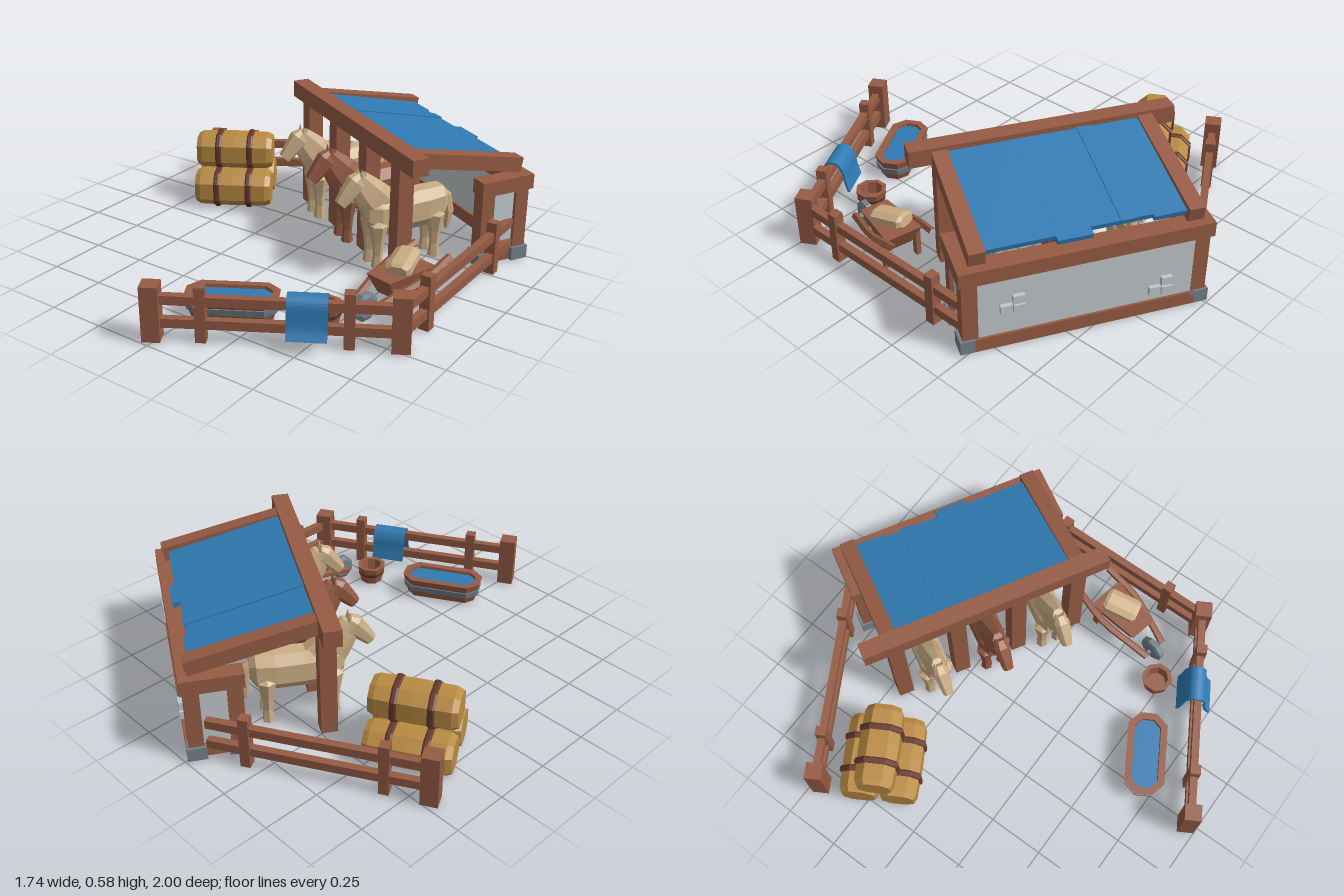
import * as THREE from 'three';

const mat = (name, color) => Object.assign(new THREE.MeshStandardMaterial({ color }), { name });
const WOOD = mat('wood', 0x955b44), BLUE = mat('blue', 0x2f7ab2), WALL = mat('plaster', 0xc0c8ca),
  STONE = mat('stone', 0x737f88), TAN = mat('tan coat', 0xcbae86), HAY = mat('hay', 0xb98a42),
  STRAP = mat('strap', 0x65382c);

// Flat-shaded mesh added to a parent
function add(parent, name, geo, material, x = 0, y = 0, z = 0) {
  const g = geo.index ? geo.toNonIndexed() : geo;
  g.computeVertexNormals();
  const m = new THREE.Mesh(g, material);
  m.name = name;
  m.position.set(x, y, z);
  parent.add(m);
  return m;
}
const box = (p, name, m, w, h, d, x, y, z) => add(p, name, new THREE.BoxGeometry(w, h, d), m, x, y, z);
function group(parent, name, x = 0, z = 0, ry = 0) {
  const g = new THREE.Group();
  g.name = name;
  g.position.set(x, 0, z);
  g.rotation.y = ry;
  parent.add(g);
  return g;
}
const lathe = (pts, n = 8) =>
  new THREE.LatheGeometry(pts.map(p => new THREE.Vector2(...p)), n, Math.PI / n);

// Closed solid through chamfered rectangles [z, y, halfWidth, halfHeight, tilt]
const CORNERS = [[1, .5], [.5, 1], [-.5, 1], [-1, .5], [-1, -.5], [-.5, -1], [.5, -1], [1, -.5]];
function loft(rings) {
  const n = CORNERS.length, pos = [], idx = [], last = (rings.length - 1) * n;
  for (const [z, y, rx, ry, tilt = 0] of rings)
    for (const [cx, cy] of CORNERS)
      pos.push(rx * cx, y + ry * cy * Math.cos(tilt), z - ry * cy * Math.sin(tilt));
  for (let i = 0; i < rings.length - 1; i++)
    for (let j = 0; j < n; j++) {
      const a = i * n + j, b = i * n + (j + 1) % n;
      idx.push(a, b, b + n, a, b + n, a + n);
    }
  for (let j = 1; j < n - 1; j++) idx.push(0, j + 1, j, last, last + j, last + j + 1);
  const g = new THREE.BufferGeometry();
  g.setAttribute('position', new THREE.Float32BufferAttribute(pos, 3));
  g.setIndex(idx);
  return g;
}

function horse(parent, x, coat) {
  const h = group(parent, 'horse', x);
  add(h, 'body', loft([[-.565, .25, .03, .045], [-.54, .245, .054, .075], [-.46, .235, .062, .085],
    [-.34, .23, .06, .085], [-.23, .235, .06, .085], [-.175, .25, .038, .06]]), coat);
  add(h, 'neck', loft([[-.27, .245, .052, .095, .8], [-.195, .335, .042, .072, .9], [-.135, .41, .026, .046, 1]]), coat);
  add(h, 'head', loft([[-.155, .42, .022, .028, -.8], [-.13, .395, .034, .044, -.8],
    [-.085, .345, .027, .034, -.8], [-.055, .31, .022, .026, -.8]]), coat);
  add(h, 'tail', loft([[-.585, .1, .008, .01, 1.4], [-.59, .18, .02, .022, 1.5], [-.575, .26, .018, .02, 1.1],
    [-.54, .295, .012, .015, .5]]), coat);
  for (const s of [-1, 1]) {
    add(h, 'ear', new THREE.ConeGeometry(.013, .04, 4), coat, s * .018, .44, -.145);
    for (const z of [-.22, -.5])
      add(h, 'leg', lathe([[0, 0], [.027, 0], [.024, .03], [.021, .06], [.027, .12], [.042, .2], [0, .23]], 6),
        coat, s * .038, 0, z);
  }
}

function stable(root) {
  const s = group(root, 'stable', 0, 0, -Math.PI / 6);
  // Open front
  box(s, 'frontBeam', WOOD, 1.12, .075, .075, -.01, .537, -.272);
  for (let i = 0; i < 4; i++) box(s, 'frontPost', WOOD, .07, .51, .07, -.433 + i * .281, .255, -.272);
  // Low walls at the back
  box(s, 'backBeam', WOOD, 1.015, .065, .08, 0, .36, -.82);
  box(s, 'backSill', WOOD, .9, .06, .05, 0, .03, -.83);
  box(s, 'backWall', WALL, .9, .28, .03, 0, .19, -.83);
  for (const e of [-1, 1]) {
    box(s, 'sideBeam', WOOD, .075, .065, .19, e * .47, .36, -.7);
    box(s, 'sideWall', WALL, .03, .28, .17, e * .465, .19, -.735);
    box(s, 'sideSill', WOOD, .045, .06, .17, e * .465, .03, -.735);
    for (const z of [-.815, -.645]) {
      box(s, 'wallPost', WOOD, .062, .33, .062, e * .465, .165, z);
      box(s, 'footStone', STONE, .09, .06, .08, e * .463, .03, z);
    }
    // Bare bricks on the back wall
    const y = e > 0 ? .2 : .13;
    for (const [dx, dy] of [[-.022, .022], [.027, -.016], [-.024, -.022]])
      box(s, 'brick', WALL, .046, .036, .035, e * .3 + dx, y + dy, -.845);
  }
  // Sloping roof
  const roof = group(s, 'roof', 0, -.265);
  roof.position.y = .57;
  roof.rotation.x = -.2;
  for (const e of [-1, 1]) box(roof, 'rafter', WOOD, .065, .065, .58, e * .432 - .005, -.033, -.29);
  for (const [x0, x1, end, lift] of [[-.41, -.27, .56, 0], [-.27, -.2, .545, 0], [-.2, -.14, .55, .005],
    [-.14, -.02, .545, 0], [-.02, .12, .58, 0], [.12, .405, .555, 0]]) {
    const board = box(roof, 'roofBoard', BLUE, x1 - x0, .022, end - .02, (x0 + x1) / 2, -.026 + lift, -(end + .02) / 2);
    board.rotation.x = -.025;
  }
  [TAN, WOOD, TAN].forEach((coat, i) => horse(s, -.286 + i * .282, coat));
}

// Rail fence from point A to B with posts at fractions of its length
function fence(root, ax, az, bx, bz, mids, turn = 0) {
  const len = Math.hypot(bx - ax, bz - az);
  const f = group(root, 'fence', ax, az, Math.atan2(az - bz, bx - ax));
  box(f, 'endPost', WOOD, .072, .235, .072, 0, .1175, 0).rotation.y = turn;
  for (const y of [.075, .173]) box(f, 'rail', WOOD, len, .038, .032, len / 2, y, 0);
  for (const t of mids) box(f, 'midPost', WOOD, .042, .235, .045, len * t, .1175, 0);
}

function blanket(root) {
  const curve = new THREE.SplineCurve([[-.07, .065], [-.056, .12], [-.048, .17], [-.022, .208], [.015, .211],
    [.042, .185], [.052, .13], [.062, .09], [.084, .055]].map(p => new THREE.Vector2(...p)));
  // Offset the curve inwards for the cloth's thickness
  const outer = curve.getPoints(32);
  const inner = outer.map((p, i) => {
    const t = curve.getTangent(i / 32);
    return new THREE.Vector2(p.x + t.y * .01, p.y - t.x * .01);
  }).reverse();
  const geo = new THREE.ExtrudeGeometry(new THREE.Shape([...outer, ...inner]), { depth: .155, bevelEnabled: false });
  geo.translate(0, 0, -.0775).rotateY(-Math.PI / 2);
  add(group(root, 'blanketOnFence', .49, .645, Math.PI / 6), 'blanket', geo, BLUE);
}

function hayStack(root) {
  const stack = group(root, 'hayStack', -.58, -.29, Math.PI / 6);
  for (const [y, z] of [[.083, -.086], [.083, .086], [.243, 0]]) {
    const bale = group(stack, 'hayBale', 0, z, Math.PI / 2);
    bale.position.y = y;
    add(bale, 'hay', loft([[-.18, 0, .071, .068], [-.155, 0, .082, .078], [0, 0, .086, .081],
      [.155, 0, .082, .078], [.18, 0, .071, .068]]), HAY);
    for (const d of [-.075, .075])
      add(bale, 'strap', loft([[d - .014, 0, .088, .083], [d - .007, 0, .093, .087], [d + .007, 0, .093, .087],
        [d + .014, 0, .088, .083]]), STRAP);
  }
}

function trough(root) {
  const t = group(root, 'trough', .124, .635, Math.PI / 6);
  // Pull the two halves apart to lengthen the round tub
  const part = (name, m, pts) => {
    const g = lathe(pts), p = g.attributes.position;
    for (let i = 0; i < p.count; i++)
      if (Math.abs(p.getX(i)) > 1e-4) p.setX(i, p.getX(i) + Math.sign(p.getX(i)) * .1);
    add(t, name, g, m);
  };
  part('base', WOOD, [[0, 0], [.068, 0], [.082, .04]]);
  part('band', STONE, [[.07, .035], [.086, .035], [.092, .065], [.07, .065]]);
  part('rim', WOOD, [[.084, .06], [.095, .1], [.063, .1], [.059, .07]]);
  part('water', BLUE, [[.065, .086], [0, .086]]);
}

function bucket(root) {
  const b = group(root, 'bucket', .457, .475);
  add(b, 'tub', lathe([[0, 0], [.052, 0], [.07, .085], [.05, .085], [.044, .03], [0, .03]]), WOOD);
  add(b, 'hoop', lathe([[.055, .04], [.063, .04], [.067, .055], [.055, .055]]), STRAP);
}

function wheelbarrow(root) {
  const w = group(root, 'wheelbarrow', .612, .18, -.2);
  // Tray narrows towards its floor and its wheel end
  const tray = new THREE.BoxGeometry(.17, .09, .25), p = tray.attributes.position;
  for (let i = 0; i < p.count; i++) {
    const k = p.getY(i) < 0 ? .65 : 1;
    p.setX(i, p.getX(i) * k * (p.getZ(i) > 0 ? .75 : 1));
    p.setZ(i, p.getZ(i) * k);
  }
  add(w, 'tray', tray, WOOD, 0, .11, 0);
  const sack = add(w, 'sack', loft([[-.08, 0, .04, .022], [-.065, 0, .052, .03], [.065, 0, .052, .03],
    [.08, 0, .04, .022]]), TAN, 0, .18, -.02);
  sack.rotation.set(.15, .4, 0);
  for (const e of [-1, 1]) {
    const path = new THREE.CatmullRomCurve3([[.05, .065, .21], [.068, .09, .13], [.1, .13, -.03], [.09, .17, -.2]]
      .map(([x, y, z]) => new THREE.Vector3(e * x, y, z)));
    add(w, 'handle', new THREE.TubeGeometry(path, 8, .017, 5), WOOD);
    box(w, 'leg', WOOD, .022, .12, .028, e * .075, .06, -.09);
  }
  const wheel = lathe([[0, -.02], [.045, -.02], [.062, -.012], [.062, .012], [.045, .02], [0, .02]]).rotateZ(Math.PI / 2);
  add(w, 'wheel', wheel, STONE, 0, .062, .2);
  add(w, 'axle', new THREE.CylinderGeometry(.012, .012, .11, 6).rotateZ(Math.PI / 2), STONE, 0, .062, .2);
}

export function createModel() {
  const root = new THREE.Group();
  root.name = 'horseStable';
  stable(root);
  fence(root, -.825, -.46, -.04, -.911, [.2, .82]);
  fence(root, .799, .48, .799, -.48, [.197, .785], Math.PI / 6);
  fence(root, -.016, .95, .799, .48, [.2, .795]);
  blanket(root);
  hayStack(root);
  trough(root);
  bucket(root);
  wheelbarrow(root);
  return root;
}
